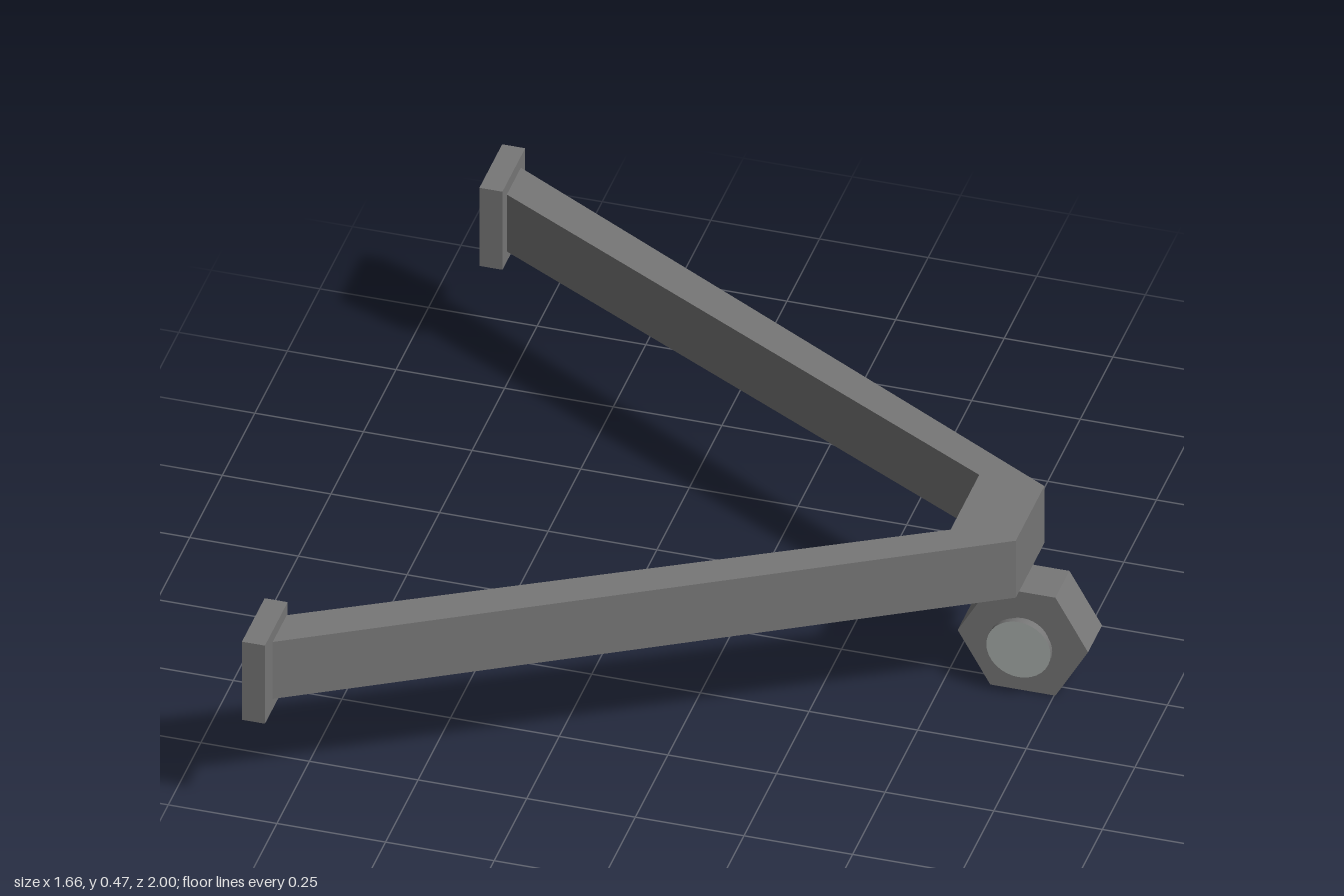
import * as THREE from 'three';

export function createModel() {
  const group = new THREE.Group();
  const steel = new THREE.MeshStandardMaterial({ color: 0x777777 });
  steel.name = 'grey steel';
  const pale = new THREE.MeshStandardMaterial({ color: 0xabb1ae });
  pale.name = 'pale metal';

  const add = (name, geometry, material, x, y, z) => {
    const mesh = new THREE.Mesh(geometry, material);
    mesh.name = name;
    mesh.position.set(x, y, z);
    group.add(mesh);
    return mesh;
  };

  // V-shaped frame: one plan outline raised to the bar height
  const midZ = -0.013;
  const half = [[-0.78, 0.955], [0.68, 0.11], [0.53, 0.11], [-0.78, 0.847]];
  const outline = [
    half[0], half[1],
    [half[1][0], -half[1][1]], [half[0][0], -half[0][1]],
    [half[3][0], -half[3][1]], [half[2][0], -half[2][1]],
    half[2], half[3],
  ].map(([x, y]) => new THREE.Vector2(x, y));
  const frame = new THREE.ExtrudeGeometry(new THREE.Shape(outline), { depth: 0.153, bevelEnabled: false });
  frame.rotateX(-Math.PI / 2);
  add('vFrame', frame, steel, 0, 0.29, midZ);

  // Mounting plates at the ends of the arms
  for (const side of [-1, 1]) {
    add(side > 0 ? 'frontMountPlate' : 'rearMountPlate',
      new THREE.BoxGeometry(0.053, 0.21, 0.175), steel, -0.804, 0.368, side * 0.9125);
  }

  // Hexagonal block with flat top and bottom
  const cx = 0.678, cy = 0.132, cz = -0.018;
  const hexPoints = [];
  for (let i = 0; i < 6; i++) {
    const a = i * Math.PI / 3;
    hexPoints.push(new THREE.Vector2(0.15 * Math.cos(a), 0.152 * Math.sin(a)));
  }
  const hex = new THREE.ExtrudeGeometry(new THREE.Shape(hexPoints), { depth: 0.108, bevelEnabled: false });
  add('hexBlock', hex, steel, cx, cy, cz - 0.054);

  // Pin through the block, with a flange and a pale face at each end
  const pin = add('pin', new THREE.CylinderGeometry(0.062, 0.062, 0.16, 32), steel, cx, cy, cz);
  pin.rotation.x = Math.PI / 2;
  for (const side of [-1, 1]) {
    const flange = add('pinFlange', new THREE.CylinderGeometry(0.074, 0.074, 0.013, 32),
      [steel, pale, pale], cx, cy, cz + side * 0.0815);
    flange.rotation.x = Math.PI / 2;
  }
  return group;
}
